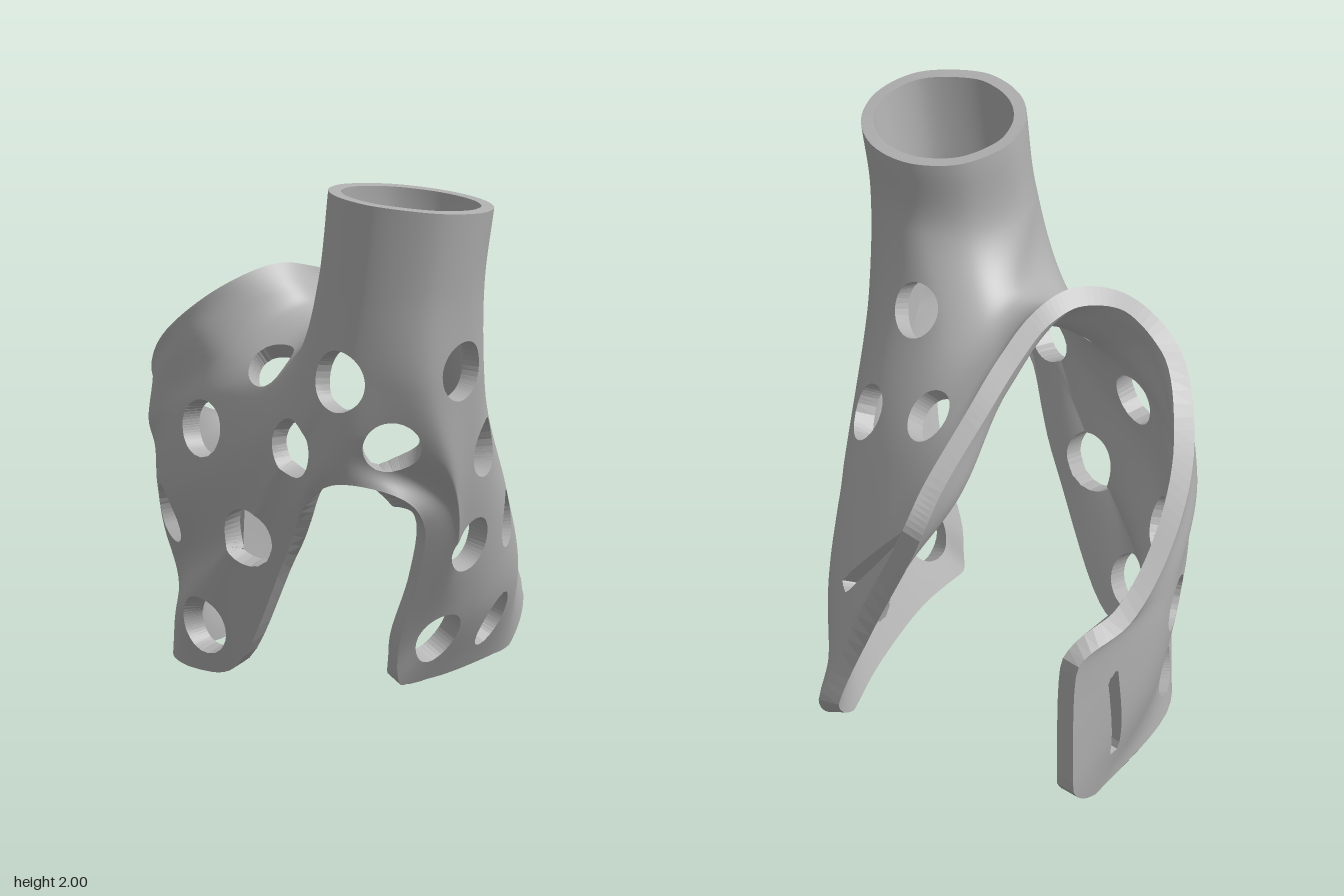
import * as THREE from 'three';

const V = (x, y, z) => new THREE.Vector3(x, y, z);
const COLS = 224, ROWS = 100;
const loop = (pts) => new THREE.CatmullRomCurve3(pts.map((p) => V(...p)), true);

// The shell is lofted through closed loops, from the thumb opening out to the free border.
const ANGLES = [0, 45, 80, 110, 135, 158, 185, 220, 258, 283, 295, 303, 311, 320, 338];
const ring = (cx, cy, cz, rx, rz, sx, sz) => loop(ANGLES.map((a) => {
  const s = Math.sin(a * Math.PI / 180), c = Math.cos(a * Math.PI / 180);
  return [cx + rx * s, cy + sx * s + sz * c, cz + rz * c];
}));
const thumbTop = ring(0.567, 1.968, 0.56, 0.325, 0.305, -0.028, 0.015);
const thumbNeck = ring(0.525, 1.64, 0.56, 0.325, 0.308, 0, 0);

const shoulder = loop([
  [0.47, 1.3, 0.87], [0.74, 1.25, 0.76], [0.81, 1.25, 0.54], [0.78, 1.2, 0.35], [0.66, 1.25, 0.18],
  [0.5, 1.3, 0.1], [0.3, 1.36, 0.07], [0.15, 1.41, 0.15], [0.1, 1.43, 0.3], [0.1, 1.38, 0.48],
  [0.08, 1.31, 0.6], [0.08, 1.25, 0.66], [0.1, 1.19, 0.7], [0.14, 1.13, 0.74], [0.27, 1.15, 0.82]]);
const body = loop([
  [0.43, 1.08, 0.86], [0.74, 0.96, 0.64], [0.73, 0.75, 0.39], [0.7, 0.65, 0.08], [0.57, 0.72, -0.25],
  [0.37, 0.97, -0.3], [0.13, 1.2, -0.27], [0.04, 1.38, 0], [-0.03, 1.46, 0.27], [-0.25, 1.29, 0.48],
  [-0.45, 1.1, 0.48], [-0.55, 0.9, 0.42], [-0.52, 0.68, 0.42], [-0.22, 0.62, 0.54], [0.08, 0.86, 0.69]]);
const flare = loop([
  [0.4, 0.95, 0.84], [0.69, 0.75, 0.5], [0.61, 0.39, 0.28], [0.6, 0.3, 0.03], [0.5, 0.38, -0.5],
  [0.2, 0.78, -0.62], [-0.02, 1.12, -0.55], [-0.03, 1.39, -0.17], [-0.11, 1.54, 0.27], [-0.42, 1.35, 0.46],
  [-0.75, 0.97, 0.19], [-0.87, 0.64, -0.25], [-0.815, 0.3, -0.22], [-0.53, 0.24, 0.34], [0.01, 0.66, 0.61]]);
const border = loop([
  [0.38, 0.87, 0.82], [0.6, 0.81, 0.7], [0.62, 0.68, 0.55], [0.53, 0.42, 0.44], [0.41, 0.14, 0.36],
  [0.39, 0, 0.29], [0.42, 0, 0], [0.4, 0, -0.38], [0.36, 0, -0.7], [0.34, 0.18, -0.87],
  [0.18, 0.62, -0.87], [-0.03, 1.14, -0.87], [-0.05, 1.27, -0.75], [-0.06, 1.41, -0.42], [-0.06, 1.5, -0.15],
  [-0.09, 1.58, 0.09], [-0.17, 1.61, 0.26], [-0.33, 1.53, 0.41], [-0.55, 1.36, 0.41], [-0.76, 1.15, 0.15],
  [-0.87, 0.97, -0.2], [-0.89, 0.82, -0.6], [-0.8, 0.74, -0.87], [-0.78, 0.14, -0.87], [-0.78, 0, -0.68],
  [-0.76, 0, -0.05], [-0.53, 0, 0.27], [-0.29, 0.03, 0.38], [0.02, 0.5, 0.57], [0.2, 0.77, 0.73]]);
const LOOPS = [thumbTop, thumbNeck, shoulder, body, flare, border];

// Round vents: approximate centre and radius
const VENTS = [
  [-0.34, 0.99, 0.52, 0.113], [-0.62, 0.6, 0.3, 0.12], [-0.15, 0.59, 0.53, 0.12], [-0.87, 0.58, -0.14, 0.113],
  [-0.79, 0.2, -0.06, 0.12], [-0.42, 0.2, 0.36, 0.12], [-0.06, 1.28, 0.54, 0.105], [0.13, 0.98, 0.75, 0.118],
  [0.39, 1.28, 0.86, 0.122], [0.6, 1, 0.8, 0.115], [0.8, 1.31, 0.6, 0.12], [0.75, 0.98, 0.31, 0.117],
  [0.56, 1, -0.1, 0.113], [0.2, 1.17, -0.23, 0.11], [0.45, 1.37, 0.13, 0.11], [0.68, 0.58, 0.28, 0.115],
  [0.6, 0.6, -0.14, 0.113], [0.48, 0.2, 0.21, 0.113], [0.5, 0.2, -0.23, 0.12]];

// Strap slots, one in each wall near the open back
function slotDistance(p) {
  const y0 = p.x > -0.4 ? 0.74 : 0.38;
  const z0 = -0.625 - (p.y - y0) * 0.12;
  return Math.max(Math.abs(p.z - z0) - 0.03, Math.abs(p.y - y0) - 0.215);
}

// Outer and inner point, normal and cut-out distance at every grid node
function buildGrid() {
  const grid = [];
  for (let i = 0; i < COLS; i++) {
    const path = new THREE.CatmullRomCurve3(LOOPS.map((l) => l.getPoint(i / COLS)));
    grid.push([]);
    for (let j = 0; j <= ROWS; j++) grid[i].push({ p: path.getPoint(Math.pow(j / ROWS, 0.85)) });
  }
  // Normals; the outermost rows share one so that the rim stays even
  for (let i = 0; i < COLS; i++) {
    for (let j = 0; j <= ROWS; j++) {
      const k = Math.min(j, ROWS - 4);
      const du = grid[(i + 2) % COLS][k].p.clone().sub(grid[(i + COLS - 2) % COLS][k].p);
      const dt = grid[i][k + 1].p.clone().sub(grid[i][Math.max(k - 1, 0)].p);
      grid[i][j].n = dt.cross(du).normalize();
    }
  }
  // Flat bottom and back edges
  const nodes = grid.flat();
  for (const { p } of nodes) {
    p.y = Math.max(0, p.y);
    p.z = Math.max(-0.87, p.z);
  }
  const vents = VENTS.map(([x, y, z, r]) => {
    const guess = V(x, y, z);
    let best = nodes[0];
    for (const n of nodes) {
      if (n.p.distanceToSquared(guess) < best.p.distanceToSquared(guess)) best = n;
    }
    return { c: best.p, r };
  });
  for (const column of grid) {
    column.forEach((node, j) => {
      const thickness = 0.05 + 0.03 * Math.min(1, j / (ROWS * 0.5));
      node.q = node.p.clone().addScaledVector(node.n, -thickness);
      node.q.y = Math.max(0, node.q.y);
      node.q.z = Math.max(-0.87, node.q.z);
      node.d = slotDistance(node.p);
      for (const v of vents) node.d = Math.min(node.d, node.p.distanceTo(v.c) - v.r);
    });
  }
  return grid;
}

const mix = (a, b) => {
  const k = a.d / (a.d - b.d);
  return { p: a.p.clone().lerp(b.p, k), q: a.q.clone().lerp(b.q, k), n: a.n.clone().lerp(b.n, k).normalize(), d: 0 };
};

function meshFrom(name, positions, normals, material) {
  const g = new THREE.BufferGeometry();
  g.setAttribute('position', new THREE.Float32BufferAttribute(positions, 3));
  if (normals) g.setAttribute('normal', new THREE.Float32BufferAttribute(normals, 3));
  else g.computeVertexNormals();
  const mesh = new THREE.Mesh(g, material);
  mesh.name = name;
  return mesh;
}

export function createModel() {
  const grey = new THREE.MeshStandardMaterial({ color: 0xb0b0b0 });
  grey.name = 'grey plastic';
  const grid = buildGrid();
  const outer = [], outerN = [], inner = [], innerN = [], rim = [];

  // Wall joining the outer edge a-b to the inner skin
  const wall = (a, b) => {
    for (const v of [b.p, a.p, a.q, b.p, a.q, b.q]) rim.push(v.x, v.y, v.z);
  };
  // Keep the part of a triangle outside the cut-outs
  const addTriangle = (tri) => {
    const poly = [];
    let leave = null, enter = null;
    tri.forEach((a, k) => {
      const b = tri[(k + 1) % 3];
      if (a.d > 0) poly.push(a);
      if ((a.d > 0) !== (b.d > 0)) {
        const m = mix(a, b);
        poly.push(m);
        if (a.d > 0) leave = m; else enter = m;
      }
    });
    for (let k = 1; k + 1 < poly.length; k++) {
      for (const v of [poly[0], poly[k], poly[k + 1]]) {
        outer.push(v.p.x, v.p.y, v.p.z);
        outerN.push(v.n.x, v.n.y, v.n.z);
      }
      for (const v of [poly[0], poly[k + 1], poly[k]]) {
        inner.push(v.q.x, v.q.y, v.q.z);
        innerN.push(-v.n.x, -v.n.y, -v.n.z);
      }
    }
    if (leave && enter) wall(leave, enter);
  };

  for (let i = 0; i < COLS; i++) {
    const here = grid[i], next = grid[(i + 1) % COLS];
    for (let j = 0; j < ROWS; j++) {
      addTriangle([here[j], here[j + 1], next[j + 1]]);
      addTriangle([here[j], next[j + 1], next[j]]);
    }
    // Thumb opening and free border
    wall(next[0], here[0]);
    wall(here[ROWS], next[ROWS]);
  }

  const model = new THREE.Group();
  model.name = 'wristBrace';
  model.add(meshFrom('outerShell', outer, outerN, grey));
  model.add(meshFrom('innerShell', inner, innerN, grey));
  model.add(meshFrom('rimsAndVentWalls', rim, null, grey));
  return model;
}
